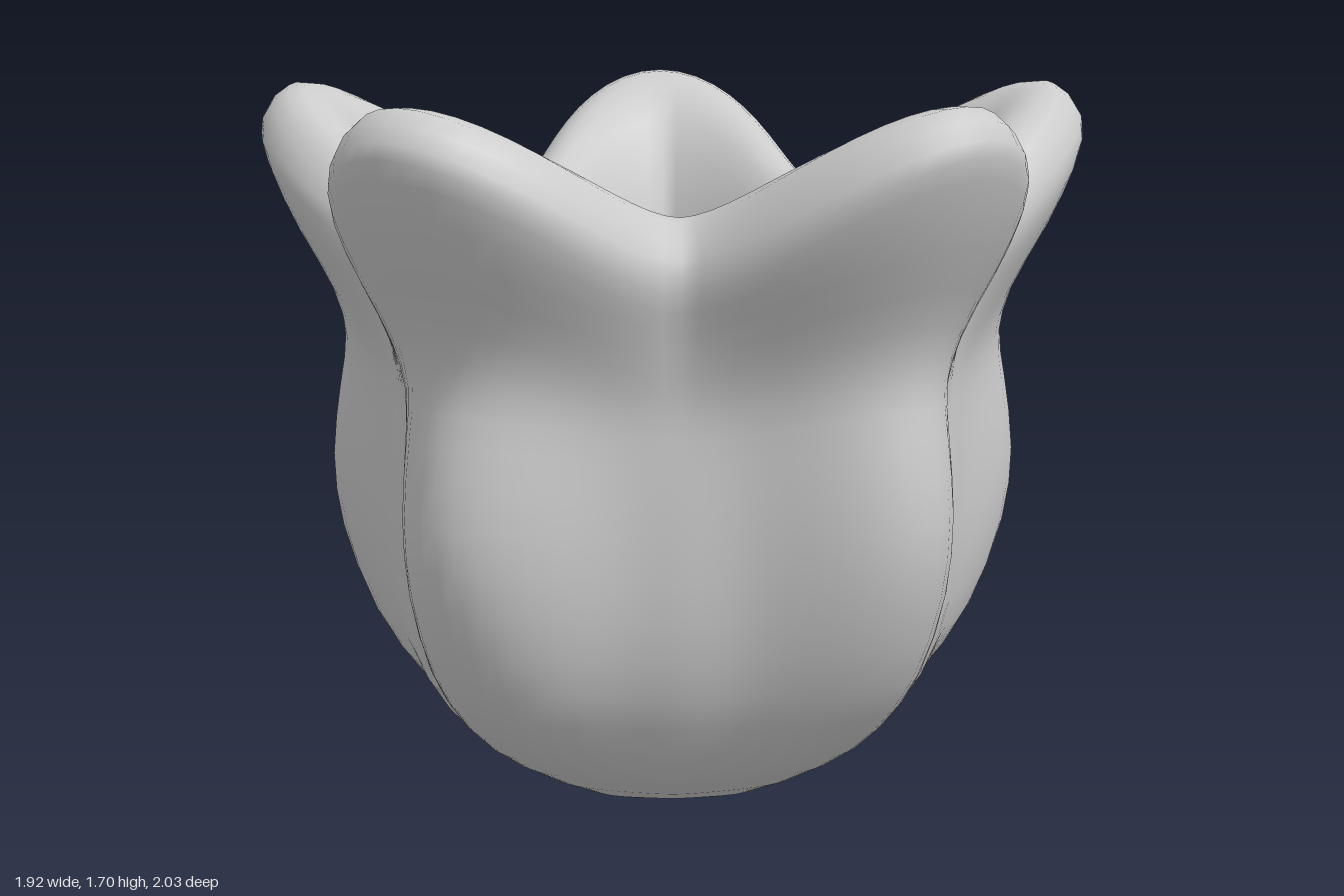
import * as THREE from 'three';

const LOBES = 5, SEG = 24, CENTRE_X = -0.1;

// Blend from lobe ridge (t = 0) to valley (t = 1)
const bell = (t) => 0.5 + 0.5 * Math.cos(Math.PI * t);
const body = (t) => bell(t) ** 1.7;                                      // flat-sided cup
const rim = (t) => 0.6 * bell(t) + 0.4 * Math.cos(t * Math.PI / 2);      // petals with creased valleys
const star = (t) => 1 - Math.sin(t * Math.PI / 2);                       // pointed star inside

// Each ring: ridge radius, ridge height, valley radius, valley height,
// then the weights of the rim and star shapes
const RINGS = [
  [0, 0, 0, 0, 0, 0],
  [0.13, 0.003, 0.11, 0.003, 0, 0],
  [0.29, 0.05, 0.26, 0.045, 0, 0],
  [0.51, 0.16, 0.45, 0.14, 0, 0],
  [0.66, 0.27, 0.57, 0.25, 0, 0],
  [0.785, 0.42, 0.65, 0.4, 0, 0],
  [0.87, 0.62, 0.685, 0.58, 0, 0],
  [0.893, 0.8, 0.69, 0.77, 0, 0],
  [0.868, 0.98, 0.685, 0.92, 0.05, 0],
  [0.848, 1.1, 0.68, 1.03, 0.25, 0],
  [0.88, 1.23, 0.69, 1.12, 0.55, 0],
  [0.975, 1.4, 0.71, 1.22, 0.85, 0],
  [1.04, 1.55, 0.73, 1.3, 1, 0],
  [1.05, 1.63, 0.72, 1.37, 1, 0],
  [0.985, 1.695, 0.665, 1.425, 1, 0],
  [0.89, 1.67, 0.59, 1.45, 0.9, 0.1],
  [0.79, 1.57, 0.51, 1.41, 0.75, 0.25],
  [0.705, 1.39, 0.44, 1.29, 0.45, 0.55],
  [0.635, 1.17, 0.38, 1.12, 0.15, 0.85],
  [0.585, 0.97, 0.345, 0.95, 0, 1],
  [0.585, 0.75, 0.365, 0.73, 0, 1],
  [0.53, 0.5, 0.35, 0.48, 0, 1],
  [0.35, 0.32, 0.25, 0.31, 0, 0.8],
  [0, 0.25, 0, 0.25, 0, 0.5],
];

// Smooth curve through the rings, two steps per ring
function refine(rings) {
  const out = [];
  const n = rings.length;
  for (let i = 0; i < n; i++) {
    out.push(rings[i]);
    if (i === n - 1) break;
    const a = rings[Math.max(i - 1, 0)], b = rings[i], c = rings[i + 1], d = rings[Math.min(i + 2, n - 1)];
    out.push(b.map((v, k) => (9 * (v + c[k]) - a[k] - d[k]) / 16));
  }
  return out;
}

function cupGeometry() {
  const rings = refine(RINGS), cols = LOBES * SEG, last = rings.length - 1;
  const pos = [], idx = [];
  for (const [rl, yl, rv, yv, wRim, wStar] of rings) {
    for (let j = 0; j < cols; j++) {
      const a = (j / cols) * Math.PI * 2;
      const u = (j % SEG) / SEG;
      const t = 2 * Math.min(u, 1 - u);
      const f = body(t) * (1 - wRim - wStar) + rim(t) * wRim + star(t) * wStar;
      // The cup is slightly shallower towards -x
      const r = (rv + (rl - rv) * f) * (1 - 0.045 * Math.max(0, -Math.cos(a)));
      // Petal tops follow a bell so they rise to a point
      const y = yv + (yl - yv) * (0.3 * f + 0.7 * bell(t));
      pos.push(CENTRE_X + r * Math.cos(a), y, r * Math.sin(a));
    }
  }
  for (let i = 0; i < last; i++) {
    for (let j = 0; j < cols; j++) {
      const k = (j + 1) % cols;
      const a = i * cols + j, b = i * cols + k, c = a + cols, d = b + cols;
      if (i > 0) idx.push(a, c, b);
      if (i < last - 1) idx.push(b, c, d);
    }
  }
  // The first ring is a single point, so its fan uses the second triangle only
  const geo = new THREE.BufferGeometry();
  geo.setAttribute('position', new THREE.Float32BufferAttribute(pos, 3));
  geo.setIndex(idx);
  geo.computeVertexNormals();
  // Pole vertices get straight normals
  const nor = geo.attributes.normal;
  for (let j = 0; j < cols; j++) {
    nor.setXYZ(j, 0, -1, 0);
    nor.setXYZ(last * cols + j, 0, 1, 0);
  }
  return geo;
}

export function createModel() {
  const group = new THREE.Group();
  group.name = 'flowerCup';
  // Thick five-petalled cup: outer wall, rolled rim and hollow in one skin
  const cup = new THREE.Mesh(
    cupGeometry(),
    new THREE.MeshStandardMaterial({ color: 0xcccccc, side: THREE.DoubleSide })
  );
  cup.name = 'petalCup';
  group.add(cup);
  return group;
}
